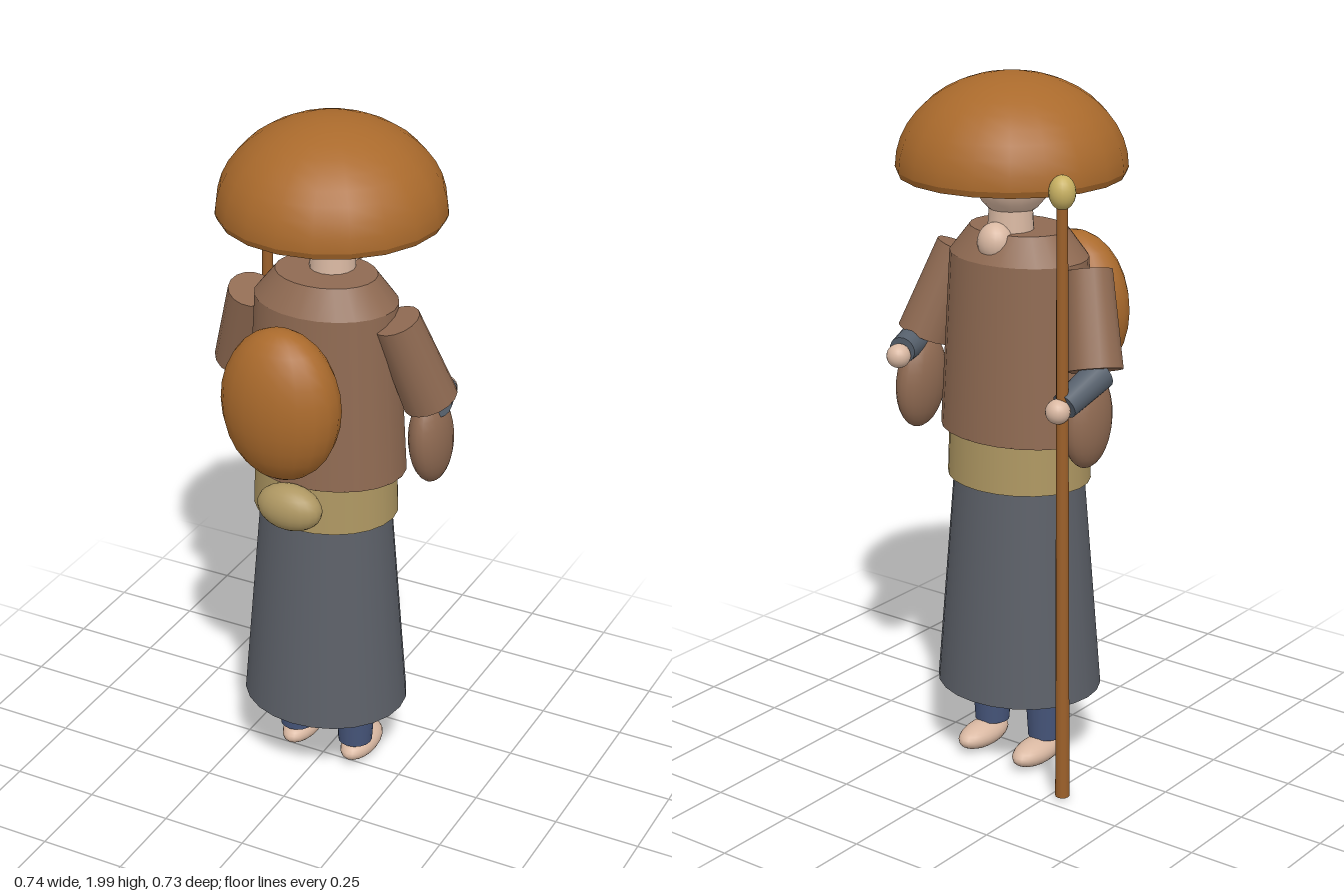
import * as THREE from 'three';

const mat = (name, color, side = THREE.FrontSide) => {
  const m = new THREE.MeshStandardMaterial({ color, side });
  m.name = name;
  return m;
};

export function createModel() {
  const group = new THREE.Group();
  group.name = 'traveller';

  const straw = mat('straw brown', 0xaa6a2c, THREE.DoubleSide);
  const wood = mat('staff wood', 0x9c602a);
  const robe = mat('robe brown', 0x8f6a52, THREE.DoubleSide);
  const skirtGrey = mat('skirt grey', 0x5c6068);
  const cuffGrey = mat('cuff slate', 0x56606c);
  const navy = mat('trouser blue', 0x46557a);
  const skin = mat('skin', 0xd9b8a2);
  const sashTan = mat('sash tan', 0xae9762);
  const brass = mat('knob yellow', 0xc8b162);

  const add = (name, geometry, material, pos = [0, 0, 0], scale = [1, 1, 1]) => {
    const mesh = new THREE.Mesh(geometry, material);
    mesh.name = name;
    mesh.position.set(...pos);
    mesh.scale.set(...scale);
    group.add(mesh);
    return mesh;
  };
  const ball = (name, material, pos, radii) =>
    add(name, new THREE.SphereGeometry(1, 20, 14), material, pos, radii);

  // Tapered limb running from a to b
  const limb = (name, material, a, b, ra, rb, sides = 16, open = false) => {
    const A = new THREE.Vector3(...a), B = new THREE.Vector3(...b);
    const dir = B.clone().sub(A);
    const mesh = add(name, new THREE.CylinderGeometry(rb, ra, dir.length(), sides, 1, open), material);
    mesh.position.copy(A).add(B).multiplyScalar(0.5);
    mesh.quaternion.setFromUnitVectors(new THREE.Vector3(0, 1, 0), dir.normalize());
    return mesh;
  };

  // Hollow domed hat with a thin rim
  const hatZ = -0.05;
  add('hat', new THREE.SphereGeometry(1, 20, 10, 0, Math.PI * 2, 0, Math.PI / 2), straw,
    [0, 1.745, hatZ], [0.314, 0.255, 0.314]);
  add('hatRim', new THREE.CylinderGeometry(0.315, 0.308, 0.017, 20, 1, true), straw, [0, 1.738, hatZ]);

  // Head, neck and bare throat
  ball('head', skin, [0, 1.735, -0.043], [0.107, 0.128, 0.12]);
  add('neck', new THREE.CylinderGeometry(0.06, 0.066, 0.1, 16), skin, [0, 1.59, -0.055]);
  ball('throat', skin, [0, 1.55, -0.125], [0.05, 0.055, 0.047]);

  // Robe top: sloped shoulders above a flaring body
  const bodyZ = -0.018;
  add('torso', new THREE.CylinderGeometry(0.205, 0.235, 0.5, 24, 1, true), robe,
    [0, 1.25, bodyZ], [1, 1, 0.79]);
  add('shoulders', new THREE.CylinderGeometry(0.145, 0.205, 0.075, 24), robe,
    [0, 1.5375, bodyZ], [1, 1, 0.8]);
  add('torsoHem', new THREE.CylinderGeometry(0.235, 0.235, 0.002, 24), robe, [0, 1, bodyZ], [1, 1, 0.79]);

  // Sash with its knot, and the skirt
  add('sash', new THREE.CylinderGeometry(0.205, 0.21, 0.14, 24), sashTan, [0, 0.93, bodyZ], [1, 1, 0.87]);
  ball('sashBundle', sashTan, [0, 0.953, 0.2], [0.097, 0.067, 0.058]);
  add('skirt', new THREE.CylinderGeometry(0.19, 0.242, 0.63, 24), skirtGrey, [0, 0.55, bodyZ], [1, 1, 0.9]);

  // Round pack
  ball('pack', straw, [0, 1.29, 0.245], [0.172, 0.22, 0.118]);

  // Legs, feet and arms on both sides
  for (const s of [-1, 1]) {
    const side = s > 0 ? 'left' : 'right';
    limb(side + 'Leg', navy, [s * 0.096, 0.08, -0.02], [s * 0.096, 0.3, -0.02], 0.05, 0.064);
    ball(side + 'Foot', skin, [s * 0.097, 0.047, -0.062], [0.05, 0.038, 0.1]);

    limb(side + 'Sleeve', robe, [s * 0.22, 1.48, 0], [s * 0.293, 1.23, -0.07], 0.066, 0.078);
    const bag = ball(side + 'SleeveBag', robe, [s * 0.286, 1.1, -0.095], [0.056, 0.136, 0.09]);
    bag.rotation.set(0.1, 0, s * 0.04);

    const hand = s > 0 ? [0.275, 1.2, -0.207] : [-0.285, 1.155, -0.228];
    limb(side + 'Forearm', cuffGrey, [s * 0.308, 1.225, -0.07],
      [hand[0] + s * 0.005, hand[1] + 0.01, hand[2] + 0.022], 0.046, 0.038);
    ball(side + 'Hand', skin, hand, [0.034, 0.034, 0.034]);
  }

  // Walking staff with a knob
  limb('staff', wood, [-0.294, 0.022, -0.21], [-0.285, 1.74, -0.213], 0.02, 0.015, 12);
  ball('staffKnob', brass, [-0.285, 1.745, -0.213], [0.036, 0.046, 0.036]);

  return group;
}
